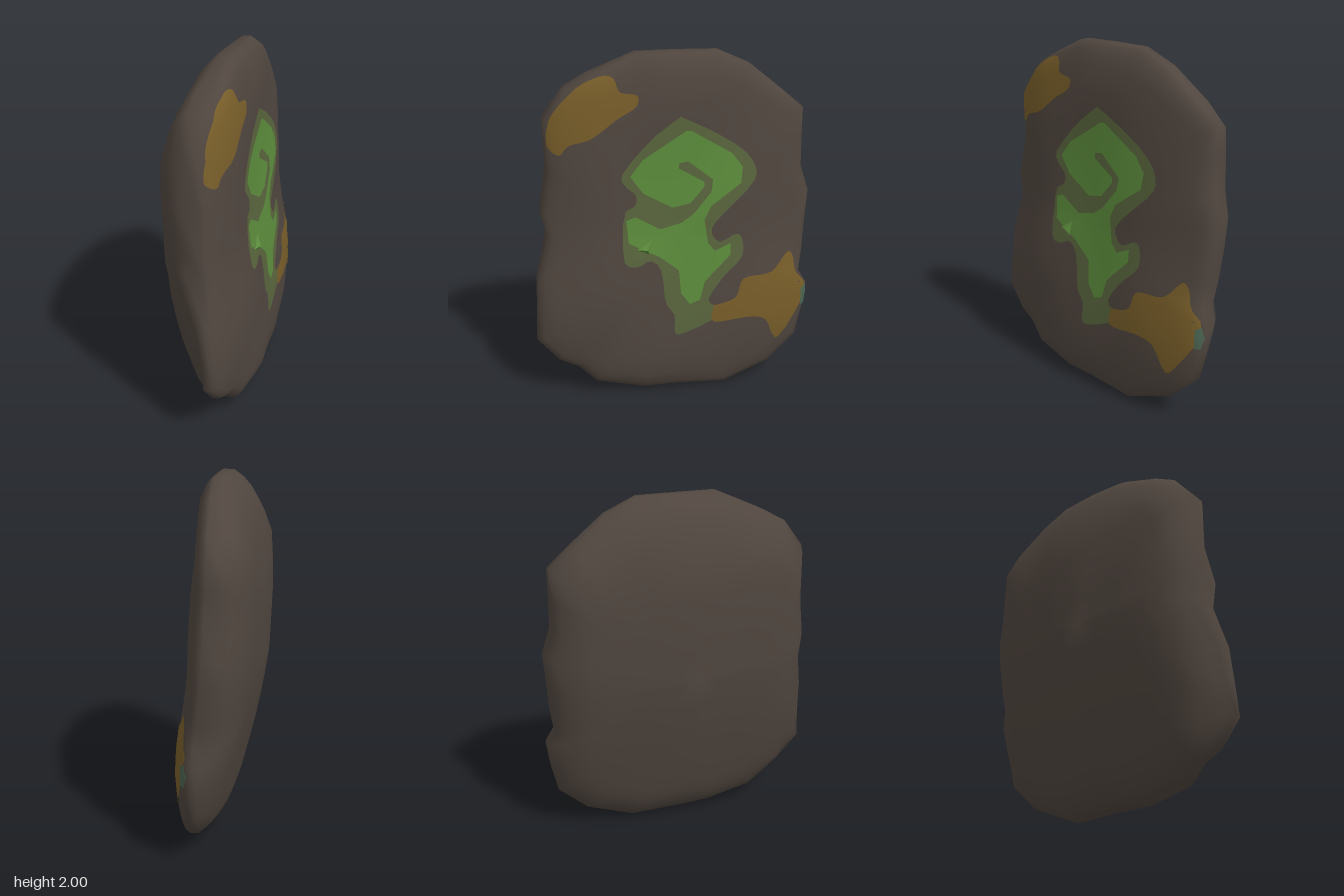
import * as THREE from 'three';

const material = (name, color) => Object.assign(new THREE.MeshStandardMaterial({ color }), { name });
const lerpTable = (table, v) => {
  for (let i = 1; i < table.length; i++) {
    const [a, fa] = table[i - 1], [b, fb] = table[i];
    if (v <= b) return fa + (fb - fa) * Math.max(0, (v - a) / (b - a));
  }
  return table[table.length - 1][1];
};

// Slab outline as [z, y], clockwise when seen from +x
const OUTLINE = [[.2, 2], [0, 2], [-.25, 2], [-.43, 1.92], [-.63, 1.76], [-.75, 1.66], [-.75, 1.5], [-.75, 1.32],
  [-.8, 1.17], [-.785, 1], [-.77, .82], [-.75, .68], [-.8, .6], [-.78, .45], [-.74, .27], [-.57, .11], [-.29, 0],
  [0, .02], [.2, .02], [.48, .08], [.58, .18], [.69, .23], [.81, .37], [.8, .55], [.79, .75], [.72, 1],
  [.75, 1.14], [.7, 1.38], [.71, 1.66], [.58, 1.82], [.45, 1.89]];

// Depth of each side along the height, and its change from edge to edge
const BACK_Y = [[0, 0], [.2, -.07], [.4, -.12], [.6, -.17], [.8, -.21], [1, -.24], [1.3, -.253], [1.6, -.245], [1.75, -.2], [1.9, -.15], [2, -.1]];
const BACK_Z = [[-.8, .18], [-.7, .13], [-.6, .09], [-.4, .06], [-.2, .02], [0, 0], [.4, 0], [.5, .005], [.6, .02], [.7, .08], [.8, .18]];
const FRONT_Y = [[0, .25], [.2, .245], [.4, .24], [.6, .23], [.8, .205], [1, .18], [1.2, .168], [1.4, .155], [1.6, .145], [1.8, .14], [2, .13]];
const FRONT_Z = [[-.8, -.01], [-.6, 0], [-.4, .008], [-.2, .005], [0, 0], [.2, -.007], [.4, -.022], [.6, -.055], [.8, -.08]];
const frontX = (y, z) => lerpTable(FRONT_Y, y) + lerpTable(FRONT_Z, z);
const backX = (y, z) => lerpTable(BACK_Y, y) + lerpTable(BACK_Z, z);

function slabGeometry() {
  // Rings of [scale, rounding]: from the back centre out to the rim, then in to the front centre
  const back = [[0, 0], [.15, 0], [.3, 0], [.45, 0], [.6, 0], [.75, 0], [.84, .006], [.91, .02], [.96, .04], [1, .075]];
  const front = [[1, .085], [.985, .062], [.95, .04], [.88, .018], [.75, .004], [.6, 0], [.45, 0], [.3, 0], [.15, 0], [0, 0]];
  const rings = [...back, ...front];
  const n = OUTLINE.length, pos = [], index = [];
  rings.forEach(([s, round], i) => OUTLINE.forEach(([oz, oy], j) => {
    const z = oz * s, y = 1 + (oy - 1) * s;
    const bump = s < .9 ? .01 * Math.sin(7 * z + 3 * y) * Math.cos(5 * y - 2 * z) : 0;
    const x = i < back.length
      ? Math.min(backX(y, z) + round, frontX(y, z) - .12)
      : frontX(y, z) - round + bump;
    pos.push(x, y, z);
    if (i === rings.length - 1) return;
    const a = i * n + j, b = i * n + (j + 1) % n, c = a + n, d = b + n;
    if (s > 0) index.push(a, c, b);
    if (rings[i + 1][0] > 0) index.push(b, c, d);
  }));
  const geo = new THREE.BufferGeometry();
  geo.setAttribute('position', new THREE.Float32BufferAttribute(pos, 3));
  geo.setIndex(index);
  geo.computeVertexNormals();
  // One shared normal at each centre
  for (let j = 0; j < n; j++) {
    geo.attributes.normal.setXYZ(j, -1, 0, 0);
    geo.attributes.normal.setXYZ((rings.length - 1) * n + j, .994, .09, .04);
  }
  return geo;
}

// Thin painted patch: a flat shape, subdivided and laid on the slab's face
function patch(name, slab, mat, points, lift, smooth) {
  let pts = points.map(([z, y]) => new THREE.Vector2(-z, y));
  if (smooth) pts = new THREE.SplineCurve([...pts, pts[0]]).getPoints(70).slice(0, -1);
  const flat = new THREE.ShapeGeometry(new THREE.Shape(pts)).toNonIndexed().attributes.position;
  let tris = [];
  for (let i = 0; i < flat.count; i += 3)
    tris.push([0, 1, 2].map(k => new THREE.Vector2(flat.getX(i + k), flat.getY(i + k))));
  const mid = (a, b) => a.clone().add(b).multiplyScalar(.5);
  for (let k = 0; k < 3; k++) tris = tris.flatMap(([a, b, c]) => {
    const ab = mid(a, b), bc = mid(b, c), ca = mid(c, a);
    return [[a, ab, ca], [ab, b, bc], [ca, bc, c], [ab, bc, ca]];
  });
  const ray = new THREE.Raycaster(), toward = new THREE.Vector3(-1, 0, 0), pos = [], nor = [];
  for (const tri of tris) {
    const hits = tri.map(p => {
      ray.set(new THREE.Vector3(2, p.y, -p.x), toward);
      return ray.intersectObject(slab)[0];
    });
    if (hits.some(h => !h)) continue;
    for (const { point, normal } of hits) {
      point.addScaledVector(normal, lift);
      pos.push(point.x, point.y, point.z);
      nor.push(normal.x, normal.y, normal.z);
    }
  }
  const geo = new THREE.BufferGeometry();
  geo.setAttribute('position', new THREE.Float32BufferAttribute(pos, 3));
  geo.setAttribute('normal', new THREE.Float32BufferAttribute(nor, 3));
  const mesh = new THREE.Mesh(geo, mat);
  mesh.name = name;
  return mesh;
}

export function createModel() {
  const group = new THREE.Group();
  group.name = 'carvedStone';
  const rock = material('rock', 0x50463f);
  const green = material('brightGreen', 0x5c8c3c);
  const moss = material('mossGreen', 0x59653d);
  const ochre = material('ochre', 0x775d29);
  const teal = material('dullTeal', 0x4a6450);

  const slab = new THREE.Mesh(slabGeometry(), rock);
  slab.name = 'stoneSlab';
  slab.updateMatrixWorld();
  group.add(slab);

  // Mossy border around the spiral
  group.add(patch('spiralBorder', slab, moss, [[-.02, 1.67], [.14, 1.55], [.3, 1.37], [.29, 1.3], [.23, 1.24], [.24, 1.18],
    [.3, 1.13], [.31, .87], [.24, .83], [.16, .86], [.1, .79], [.08, .6], [.03, .52], [.03, .41], [-.02, .4], [-.19, .47],
    [-.21, .55], [-.17, .6], [-.26, .73], [-.37, .84], [-.37, .95], [-.33, .98], [-.24, .94], [-.19, 1.01], [-.25, 1.1],
    [-.42, 1.26], [-.45, 1.35], [-.38, 1.46], [-.2, 1.58]], .003, true));

  // Bright spiral with its tail
  group.add(patch('spiralMark', slab, green, [[-.05, 1.59], [.19, 1.44], [.26, 1.35], [.19, 1.25], [.03, 1.16], [-.07, 1.18],
    [-.15, 1.27], [-.15, 1.3], [-.01, 1.38], [-.01, 1.41], [-.06, 1.42], [-.2, 1.31], [-.19, 1.24], [-.09, 1.12],
    [-.02, 1.07], [.1, 1.04], [.24, 1.12], [.29, 1.1], [.28, .97], [.11, .88], [0, .79], [-.01, .65], [-.06, .58],
    [-.12, .6], [-.15, .71], [-.3, .86], [-.3, .93], [-.21, .89], [-.17, .94], [-.15, 1.08], [-.19, 1.16],
    [-.36, 1.28], [-.37, 1.37], [-.31, 1.45], [-.08, 1.59]], .006, false));

  // Ochre stains at two corners
  group.add(patch('upperStain', slab, ochre, [[.69, 1.58], [.685, 1.51], [.63, 1.475], [.58, 1.53], [.46, 1.57], [.32, 1.67],
    [.22, 1.73], [.21, 1.79], [.3, 1.81], [.33, 1.88], [.4, 1.885], [.53, 1.82], [.66, 1.68]], .005, true));
  group.add(patch('lowerStain', slab, ochre, [[-.2, .56], [-.33, .6], [-.38, .71], [-.55, .73], [-.65, .83], [-.69, .8],
    [-.71, .7], [-.77, .62], [-.76, .52], [-.62, .31], [-.57, .32], [-.51, .44], [-.39, .47], [-.2, .46]], .005, true));

  // Small teal fleck where the lower stain meets the rim
  group.add(patch('rimFleck', slab, teal, [[-.745, .59], [-.775, .61], [-.785, .55], [-.77, .48], [-.745, .48]], .008, false));

  // Small chipped ridge on the spiral's left arm
  const chip = new THREE.Mesh(new THREE.ConeGeometry(.075, .035, 3).rotateZ(-Math.PI / 2).toNonIndexed(), green);
  chip.geometry.computeVertexNormals();
  chip.position.set(frontX(.93, .18) + .012, .93, .18);
  chip.name = 'spiralChip';
  group.add(chip);
  return group;
}
